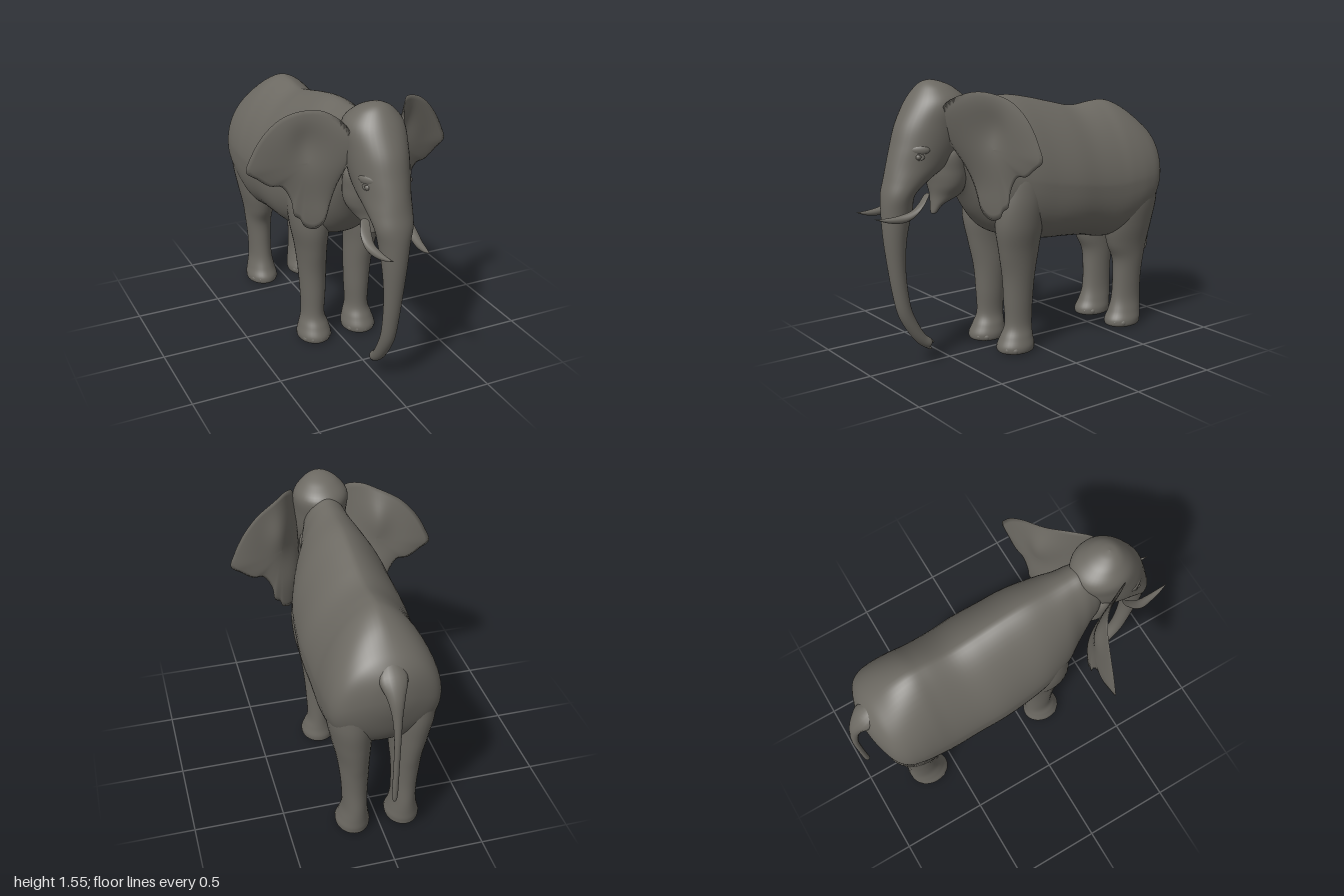
import * as THREE from 'three';

const skin = new THREE.MeshStandardMaterial({ color: 0x6c6962 });
skin.name = 'greySkin';

// Smooth interpolation through rows of numbers, t in 0..1
function sample(rows, t) {
  const f = t * (rows.length - 1), i = Math.min(Math.floor(f), rows.length - 2), k = f - i;
  const at = (j) => rows[Math.max(0, Math.min(rows.length - 1, j))];
  return rows[i].map((b, c) => {
    const a = at(i - 1)[c], d = at(i + 1)[c], e = at(i + 2)[c];
    return 0.5 * (2 * b + (d - a) * k + (2 * a - 5 * b + 4 * d - e) * k * k + (3 * b - a - 3 * d + e) * k * k * k);
  });
}

// Grid surface, closed around u; mirrored in x when side is -1
function surface(nu, nv, fn, side = 1) {
  const pos = [], idx = [];
  for (let j = 0; j <= nv; j++) {
    for (let i = 0; i < nu; i++) {
      const p = fn(i / nu, j / nv);
      pos.push(p[0] * side, p[1], p[2]);
    }
  }
  for (let j = 0; j < nv; j++) {
    for (let i = 0; i < nu; i++) {
      const a = j * nu + i, b = j * nu + (i + 1) % nu, c = a + nu, d = b + nu;
      if (side > 0) idx.push(a, c, b, b, c, d);
      else idx.push(a, b, c, b, d, c);
    }
  }
  const g = new THREE.BufferGeometry();
  g.setAttribute('position', new THREE.Float32BufferAttribute(pos, 3));
  g.setIndex(idx);
  g.computeVertexNormals();
  return g;
}

// Loft of rings; row = [x, y, z, half width, radius ahead, radius behind, tilt in degrees,
// power ahead, power behind]: a power over 1 makes a ridge, under 1 a boxier curve
function loft(rows, { side = 1, nu = 32, steps = 6 } = {}) {
  const bend = (v, power) => Math.sign(v) * Math.pow(Math.abs(v), power);
  return surface(nu, (rows.length - 1) * steps, (u, v) => {
    const [x, y, z, w, r1, r2, tilt, p1 = 1, p2 = 1] = sample(rows, v);
    const sin = Math.sin(u * Math.PI * 2), power = sin > 0 ? p1 : p2, a = tilt * Math.PI / 180;
    const c = bend(Math.cos(u * Math.PI * 2), power);
    const h = bend(sin, power) * Math.max(0, sin > 0 ? r1 : r2);
    return [x + c * Math.max(0, w), y + h * Math.sin(a), z + h * Math.cos(a)];
  }, side);
}

export function createModel() {
  const model = new THREE.Group();
  model.name = 'elephant';
  const add = (name, geometry, parent = model) => {
    const m = new THREE.Mesh(geometry, skin);
    m.name = name;
    parent.add(m);
    return m;
  };

  // Body and neck, with a ridged back and fuller belly: z, top, bottom, half width, powers
  const body = [
    [0.53, 1.32, 1.2, 0.01, 1, 1], [0.51, 1.45, 1.02, 0.11, 1, 1], [0.43, 1.465, 0.93, 0.15, 1, 1],
    [0.35, 1.455, 0.8, 0.185, 1.05, 0.95], [0.25, 1.445, 0.7, 0.24, 1.12, 0.9], [0.1, 1.445, 0.65, 0.285, 1.22, 0.85],
    [-0.05, 1.42, 0.62, 0.302, 1.27, 0.78], [-0.2, 1.385, 0.61, 0.312, 1.27, 0.78], [-0.35, 1.355, 0.595, 0.308, 1.27, 0.78],
    [-0.5, 1.37, 0.565, 0.307, 1.27, 0.78], [-0.6, 1.37, 0.58, 0.308, 1.22, 0.8], [-0.7, 1.33, 0.62, 0.306, 1.15, 0.85],
    [-0.79, 1.262, 0.68, 0.288, 1.05, 0.9], [-0.85, 1.205, 0.77, 0.235, 1, 1], [-0.893, 1.135, 0.9, 0.12, 1, 1],
    [-0.91, 1.04, 1.0, 0.01, 1, 1],
  ].map(([z, top, low, w, p1, p2]) => {
    const cy = low + 0.42 * (top - low);
    return [0, cy, z, w, top - cy, cy - low, 90, p1, p2];
  });
  add('body', loft(body, { nu: 64 }));

  // Head running on into the trunk: y, z, half width, depth radius, tilt
  const head = [
    [1.556, 0.6, 0, 0, 180], [1.545, 0.592, 0.05, 0.05, 180], [1.51, 0.575, 0.105, 0.107, 180],
    [1.44, 0.565, 0.155, 0.17, 180], [1.33, 0.6, 0.155, 0.197, 180], [1.22, 0.63, 0.148, 0.202, 180],
    [1.13, 0.67, 0.135, 0.187, 180], [1.05, 0.745, 0.12, 0.13, 180], [0.97, 0.805, 0.104, 0.088, 180],
    [0.88, 0.815, 0.084, 0.083, 180], [0.75, 0.828, 0.066, 0.065, 180], [0.6, 0.825, 0.052, 0.05, 178],
    [0.45, 0.808, 0.044, 0.043, 172], [0.32, 0.78, 0.04, 0.04, 158], [0.22, 0.73, 0.037, 0.036, 140],
    [0.15, 0.68, 0.034, 0.032, 125], [0.115, 0.635, 0.03, 0.027, 120], [0.113, 0.632, 0, 0, 120],
  ].map(([y, z, w, r, a]) => [0, y, z, w, r, r, a]);
  add('headAndTrunk', loft(head, { nu: 40 }));

  // Gripping lips at the tip of the trunk
  for (const s of [-1, 1]) {
    const lip = add('trunkTip', new THREE.SphereGeometry(0.014, 12, 8));
    lip.scale.set(1.2, 0.7, 1.8);
    lip.rotation.x = -0.6;
    lip.position.set(0, 0.112 + s * 0.017, 0.632 + s * -0.008);
  }

  // Cheeks narrowing to the pointed lower lip
  add('lowerJaw', loft([
    [1.24, 0.53, 0, 0], [1.19, 0.53, 0.125, 0.085], [1.08, 0.512, 0.135, 0.107], [1.0, 0.508, 0.122, 0.1],
    [0.94, 0.515, 0.085, 0.085], [0.89, 0.568, 0.045, 0.033], [0.845, 0.588, 0.02, 0.015], [0.838, 0.59, 0, 0],
  ].map(([y, z, w, r]) => [0, y, z, w, r, r, 180])));

  // Tail growing out of the spine
  add('tail', loft([
    [1.2, -0.79, 0.04, 0.03, 125], [1.13, -0.875, 0.075, 0.045, 138], [1.05, -0.935, 0.046, 0.038, 152],
    [0.95, -0.965, 0.026, 0.026, 167], [0.82, -0.98, 0.018, 0.018, 178], [0.65, -0.976, 0.016, 0.016, 182],
    [0.5, -0.968, 0.016, 0.016, 184], [0.42, -0.962, 0.013, 0.014, 184], [0.395, -0.96, 0, 0, 184],
  ].map(([y, z, w, r, a]) => [0, y, z, w, r, r, a]), { nu: 16 }));

  // Legs: y, x, z, half width, half depth
  const frontLeg = [
    [0.012, 0.142, 0.15, 0, 0], [0.012, 0.142, 0.15, 0.08, 0.095], [0.045, 0.142, 0.15, 0.097, 0.112],
    [0.1, 0.14, 0.142, 0.084, 0.097], [0.17, 0.14, 0.13, 0.065, 0.083], [0.3, 0.139, 0.13, 0.07, 0.088],
    [0.45, 0.143, 0.13, 0.077, 0.1], [0.6, 0.153, 0.135, 0.086, 0.125], [0.75, 0.163, 0.14, 0.107, 0.145],
    [0.92, 0.168, 0.13, 0.113, 0.14], [1.08, 0.155, 0.12, 0.095, 0.12], [1.2, 0.13, 0.11, 0, 0],
  ];
  const rearLeg = [
    [0.01, 0.142, -0.655, 0, 0], [0.01, 0.142, -0.655, 0.08, 0.1], [0.045, 0.142, -0.657, 0.094, 0.117],
    [0.1, 0.14, -0.672, 0.082, 0.107], [0.18, 0.138, -0.685, 0.069, 0.098], [0.3, 0.14, -0.688, 0.07, 0.095],
    [0.42, 0.143, -0.69, 0.078, 0.105], [0.52, 0.147, -0.676, 0.088, 0.138], [0.65, 0.157, -0.672, 0.107, 0.165],
    [0.82, 0.167, -0.682, 0.124, 0.175], [1.02, 0.163, -0.68, 0.118, 0.15], [1.18, 0.13, -0.67, 0, 0],
  ];

  // Ear outline from the upper root around the tip and back
  const outline = new THREE.CatmullRomCurve3([
    [0.145, 1.4], [0.17, 1.465], [0.23, 1.502], [0.31, 1.49], [0.41, 1.445], [0.5, 1.355], [0.56, 1.25], [0.585, 1.17],
    [0.53, 1.125], [0.46, 1.075], [0.4, 1.065], [0.35, 0.98], [0.335, 0.895], [0.305, 0.87], [0.285, 0.83],
    [0.24, 0.815], [0.2, 0.85], [0.175, 0.95], [0.155, 1.1], [0.14, 1.25],
  ].map(([x, y]) => new THREE.Vector3(x, y, 0)), true);
  const hub = new THREE.Vector3(0.28, 1.2, 0);
  // The upper root reaches forward, the lower flap hangs back, and the middle is cupped
  const earPoint = (u, v) => {
    const t = 1 - Math.abs(2 * v - 1), p = outline.getPoint(u).sub(hub).multiplyScalar(t).add(hub);
    const reach = 0.15 + 0.16 * THREE.MathUtils.smoothstep(p.y, 0.95, 1.45);
    const sweep = 0.29 + reach * Math.exp(-(p.x - 0.16) / 0.15);
    const cup = 0.045 * Math.exp(-(((p.x - 0.27) / 0.08) ** 2) - ((p.y - 1.32) / 0.13) ** 2);
    const root = 0.02 * Math.exp(-(p.x - 0.16) / 0.06);
    const thick = (0.014 + root) * (1 - t ** 4) * (v < 0.5 ? -1 : 1);
    return [p.x, p.y, sweep - cup + thick];
  };

  // Tusk curving forward: x, y, z, radius, tilt
  const tusk = [
    [0.105, 0.96, 0.7, 0.026, -50], [0.122, 0.917, 0.745, 0.031, -55], [0.128, 0.88, 0.8, 0.027, -65],
    [0.121, 0.865, 0.86, 0.021, -83], [0.112, 0.866, 0.93, 0.013, -98], [0.1, 0.88, 1.0, 0, -105],
  ].map(([x, y, z, r, a]) => [x, y, z, r, r, r, a]);

  for (const side of [1, -1]) {
    const word = side > 0 ? 'left' : 'right';
    for (const [name, leg] of [['FrontLeg', frontLeg], ['RearLeg', rearLeg]]) {
      const group = new THREE.Group();
      group.name = word + name;
      model.add(group);
      add('leg', loft(leg.map(([y, x, z, w, d]) => [x, y, z, w, d, d, 0]), { side }), group);
      // Toes around the front of the foot
      const [, x, z, w, d] = leg[2];
      for (let i = -2; i <= 2; i++) {
        const toe = add('toe', new THREE.SphereGeometry(0.024, 12, 8), group);
        toe.position.set(side * x + Math.sin(i * 0.5) * w * 0.8, 0.036, z + Math.cos(i * 0.5) * d * 0.8);
      }
    }
    add(word + 'Ear', surface(80, 24, earPoint, side));
    add(word + 'Tusk', loft(tusk, { side, nu: 16 }));

    // Eye with soft lids under a low brow
    const eye = new THREE.Group();
    eye.name = word + 'Eye';
    eye.position.set(side * 0.118, 1.175, 0.745);
    eye.rotation.y = side * 1.0;
    model.add(eye);
    add('eyeball', new THREE.SphereGeometry(0.015, 16, 12), eye);
    const lids = add('eyelids', new THREE.TorusGeometry(0.018, 0.007, 8, 20), eye);
    lids.scale.set(1.3, 0.75, 1);
    const brow = add('brow', new THREE.SphereGeometry(0.04, 20, 14), eye);
    brow.scale.set(1.5, 0.7, 0.5);
    brow.position.set(0, 0.035, -0.012);
  }
  return model;
}
